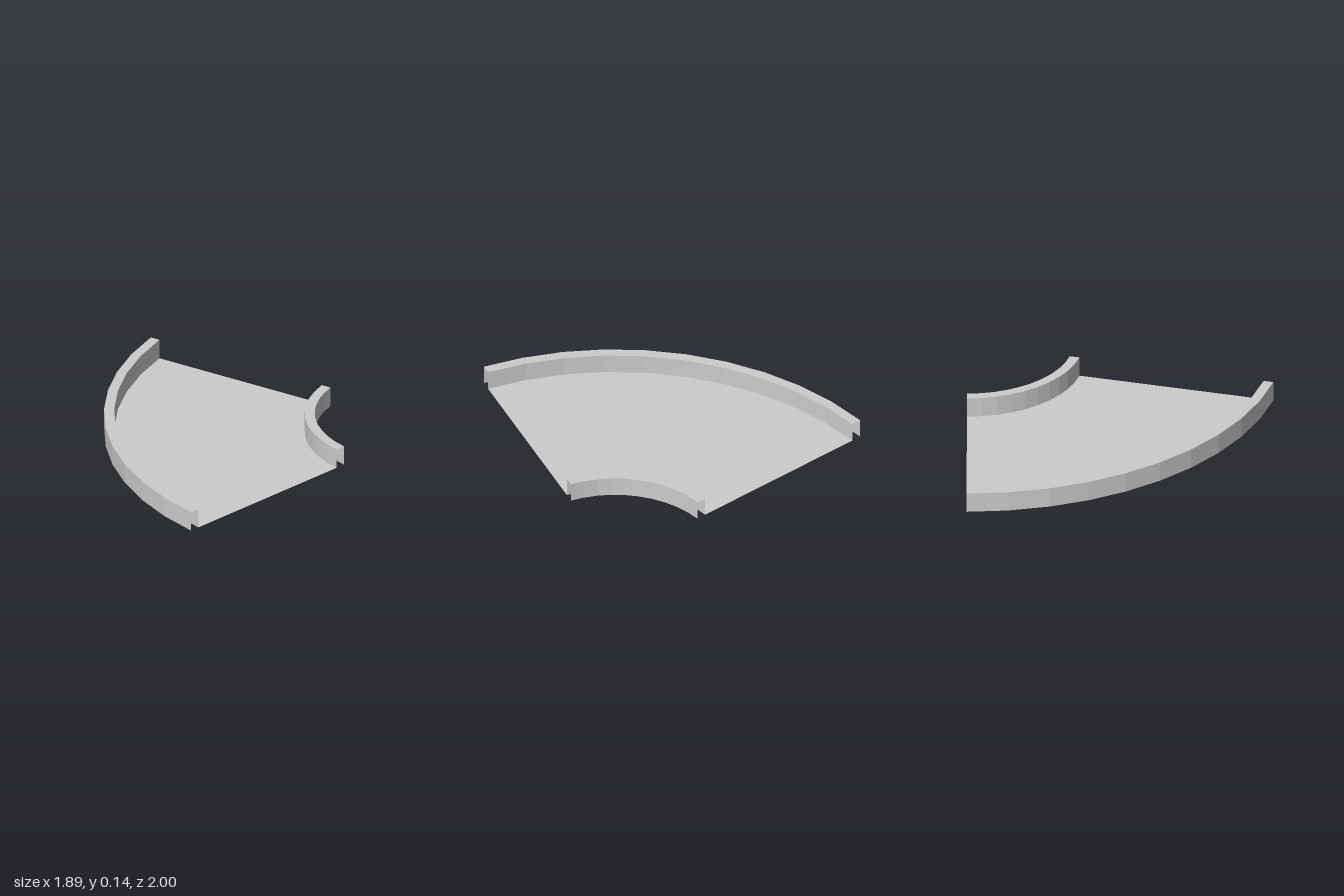
import * as THREE from 'three';

const deg = Math.PI / 180;
const HEIGHT = 0.135;
const RIM = 0.066;
const OUTER = 2.07;
const INNER = 0.695;

export function createModel() {
  const model = new THREE.Group();
  model.name = 'curvedTrack';

  const grey = new THREE.MeshStandardMaterial({
    color: 0xcccccc, flatShading: true, side: THREE.DoubleSide,
  });
  grey.name = 'light grey';

  // Sweeps an open profile of [radius, y] points through the 75 degree bend
  function sweep(name, profile) {
    const points = profile.map(([r, y]) => new THREE.Vector2(r, y));
    const mesh = new THREE.Mesh(new THREE.LatheGeometry(points, 10, 195 * deg, 75 * deg), grey);
    mesh.name = name;
    mesh.position.set(1.125, 0, 1);
    model.add(mesh);
  }

  // Hollow curb, open underneath and at both ends
  const curb = (r) => [[r, 0], [r, HEIGHT], [r - RIM, HEIGHT], [r - RIM, 0]];

  sweep('outerCurb', curb(OUTER));
  sweep('roadSurface', [[OUTER - RIM, 0], [INNER + RIM, 0]]);
  sweep('innerCurb', curb(INNER + RIM));

  return model;
}
